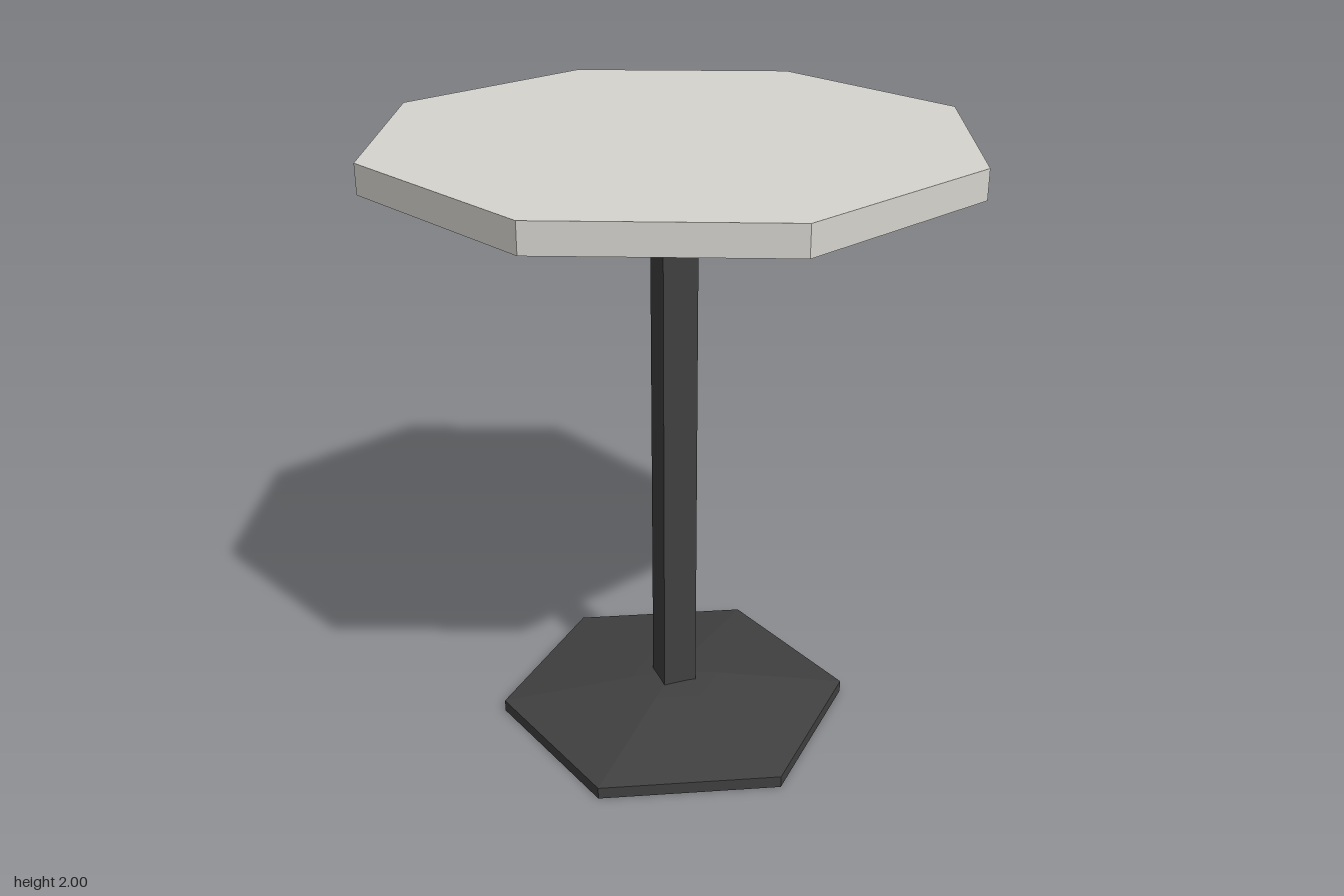
import * as THREE from 'three';

export function createModel() {
  const stone = new THREE.MeshStandardMaterial({ name: 'paleStone', color: 0xd6d4ce, flatShading: true });
  const metal = new THREE.MeshStandardMaterial({ name: 'darkMetal', color: 0x404040, flatShading: true });
  const group = new THREE.Group();
  group.name = 'pedestalTable';

  // Prism or frustum with a corner facing +z, standing between two heights
  function prism(name, material, sides, rTop, rBottom, y0, y1, open = false) {
    const geometry = new THREE.CylinderGeometry(rTop, rBottom, y1 - y0, sides, 1, open);
    geometry.translate(0, (y0 + y1) / 2, 0);
    const mesh = new THREE.Mesh(geometry, material);
    mesh.name = name;
    return mesh;
  }

  // Octagonal top on a square column
  group.add(prism('tableTop', stone, 8, 0.935, 0.935, 1.91, 2));
  group.add(prism('column', metal, 4, 0.08, 0.08, 0.1, 1.91));

  // Hexagonal foot: rim, sloping skirt and shallow cap around the column
  const foot = new THREE.Group();
  foot.name = 'foot';
  foot.add(prism('footRim', metal, 6, 0.585, 0.585, 0, 0.04));
  foot.add(prism('footSkirt', metal, 6, 0.15, 0.585, 0.04, 0.107, true));
  foot.add(prism('footCap', metal, 6, 0.07, 0.15, 0.107, 0.115));
  group.add(foot);

  return group;
}
